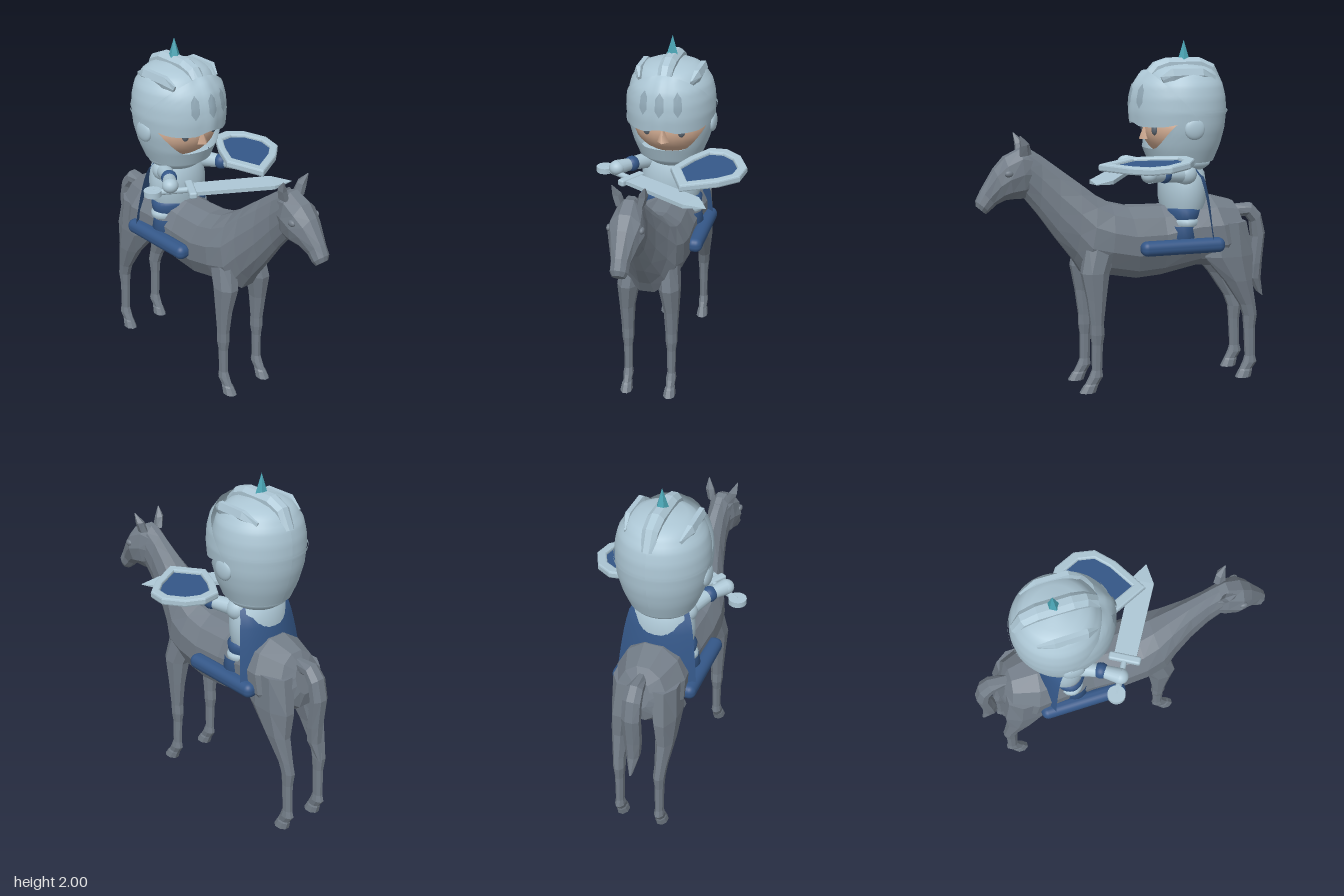
import * as THREE from 'three';
import { RoundedBoxGeometry } from 'three/addons/geometries/RoundedBoxGeometry.js';

const mat = (name, color, side = THREE.FrontSide) => {
  const m = new THREE.MeshStandardMaterial({ color, side });
  m.name = name;
  return m;
};

// Faceted loft. Ring: [z1, y1, z2, y2, halfWidth, xCentre]; the two points are opposite ends of the section.
function loft(rings, sides = 10) {
  const loops = rings.map(([z1, y1, z2, y2, w, x = 0]) => Array.from({ length: sides }, (_, i) => {
    const t = ((i + 0.5) / sides) * Math.PI * 2, c = Math.cos(t) / Math.cos(Math.PI / sides);
    return new THREE.Vector3(x + w * Math.sin(t), (y1 + y2) / 2 + (y1 - y2) / 2 * c, (z1 + z2) / 2 + (z1 - z2) / 2 * c);
  }));
  const tris = [];
  for (let r = 0; r < loops.length - 1; r++) for (let i = 0; i < sides; i++) {
    const j = (i + 1) % sides, A = loops[r], B = loops[r + 1];
    tris.push([A[i], A[j], B[j]], [A[i], B[j], B[i]]);
  }
  const first = loops[0], last = loops[loops.length - 1];
  for (let i = 1; i < sides - 1; i++) {
    tris.push([first[0], first[i + 1], first[i]], [last[0], last[i], last[i + 1]]);
  }
  // Turn the faces outward whichever way the path runs
  const volume = tris.reduce((s, [a, b, c]) => s + a.dot(b.clone().cross(c)), 0);
  const points = tris.flatMap(([a, b, c]) => (volume < 0 ? [a, c, b] : [a, b, c]));
  const g = new THREE.BufferGeometry().setFromPoints(points);
  g.computeVertexNormals();
  return g;
}

// Helmet radius by height
const helmProfile = [[0.185, 1.31], [0.222, 1.4], [0.248, 1.5], [0.257, 1.6], [0.252, 1.68], [0.235, 1.75], [0.185, 1.825], [0.1, 1.862], [0, 1.87]];
function helmRadius(y) {
  for (let i = 0; i < helmProfile.length - 1; i++) {
    const [r0, y0] = helmProfile[i], [r1, y1] = helmProfile[i + 1];
    if (y <= y1) return r0 + (r1 - r0) * Math.max(0, (y - y0) / (y1 - y0));
  }
  return 0;
}
// Curved plate following the helmet; angles in degrees from the front
function shell(a0, a1, low, high, offset, nu = 40, nv = 8) {
  const g = new THREE.PlaneGeometry(1, 1, nu, nv), p = g.attributes.position;
  for (let i = 0; i < p.count; i++) {
    const a = a0 + (a1 - a0) * (p.getX(i) + 0.5), v = p.getY(i) + 0.5;
    const y = low(a) + (high(a) - low(a)) * v, t = a * Math.PI / 180, r = helmRadius(y) + offset(a);
    p.setXYZ(i, r * Math.sin(t), y, -0.34 + r * Math.cos(t));
  }
  g.computeVertexNormals();
  return g;
}

export function createModel() {
  const coat = mat('greyCoat', 0x737d88);
  const steel = mat('paleSteel', 0xadc7d5, THREE.DoubleSide);
  const slotSteel = mat('slotSteel', 0x93abb9, THREE.DoubleSide);
  const blue = mat('blueCloth', 0x345788, THREE.DoubleSide);
  const teal = mat('tealSpike', 0x4aa5b5);
  const skin = mat('skin', 0xcda88f);
  const eyeGrey = mat('eyeGrey', 0x5d6874);
  const brown = mat('browBrown', 0x5a4438);

  const model = new THREE.Group();
  const horse = new THREE.Group(), rider = new THREE.Group(), arms = new THREE.Group();
  horse.name = 'horse'; rider.name = 'rider'; arms.name = 'armsAndWeapons';
  horse.position.x = rider.position.x = -0.05;
  model.add(horse, rider, arms);

  const add = (parent, name, geo, material, x = 0, y = 0, z = 0) => {
    const m = new THREE.Mesh(geo, material);
    m.name = name;
    m.position.set(x, y, z);
    parent.add(m);
    return m;
  };
  const ball = (parent, name, material, x, y, z, sx, sy, sz) => {
    const m = add(parent, name, new THREE.SphereGeometry(1, 24, 16), material, x, y, z);
    m.scale.set(sx, sy, sz);
    return m;
  };
  const rod = (parent, name, material, a, b, ra, rb) => {
    const A = new THREE.Vector3(...a), B = new THREE.Vector3(...b), d = B.clone().sub(A);
    const m = add(parent, name, new THREE.CylinderGeometry(rb, ra, d.length(), 16), material);
    m.position.copy(A).addScaledVector(d, 0.5);
    m.quaternion.setFromUnitVectors(new THREE.Vector3(0, 1, 0), d.normalize());
    return m;
  };

  // Horse body, neck and head
  add(horse, 'horseBody', loft([
    [-0.69, 1.0, -0.74, 0.84, 0.06], [-0.65, 1.06, -0.725, 0.76, 0.14], [-0.5, 1.1, -0.6, 0.67, 0.205],
    [-0.38, 1.08, -0.42, 0.69, 0.19], [-0.2, 1.05, -0.2, 0.645, 0.175], [0, 1.055, -0.05, 0.635, 0.185],
    [0.1, 1.08, 0.14, 0.67, 0.185], [0.19, 1.13, 0.27, 0.68, 0.165], [0.28, 1.2, 0.32, 0.76, 0.13],
    [0.4, 1.29, 0.42, 0.89, 0.09], [0.5, 1.365, 0.52, 1.03, 0.07], [0.57, 1.41, 0.6, 1.13, 0.07]], 12), coat);
  add(horse, 'horseHead', loft([
    [0.53, 1.385, 0.56, 1.15, 0.06], [0.62, 1.41, 0.6, 1.13, 0.085], [0.71, 1.365, 0.67, 1.13, 0.1], [0.77, 1.3, 0.71, 1.125, 0.08],
    [0.845, 1.18, 0.76, 1.1, 0.052], [0.872, 1.125, 0.8, 1.065, 0.05], [0.872, 1.095, 0.82, 1.05, 0.036]], 10), coat);

  // Tail
  add(horse, 'tail', loft([
    [-0.66, 1.03, -0.68, 0.95, 0.03], [-0.78, 1.035, -0.75, 0.96, 0.05], [-0.84, 0.97, -0.78, 0.92, 0.055],
    [-0.87, 0.85, -0.79, 0.83, 0.055], [-0.855, 0.68, -0.77, 0.66, 0.05], [-0.85, 0.57, -0.77, 0.58, 0.04],
    [-0.87, 0.46, -0.83, 0.49, 0.012]], 8), coat);

  // Leg sections: [y, zFront, zBack, halfWidth, distance from the middle]
  const frontLeg = [[0.9, 0.26, 0.06, 0.06, 0.1], [0.7, 0.3, 0.14, 0.065, 0.12], [0.55, 0.27, 0.16, 0.045, 0.13],
    [0.4, 0.25, 0.175, 0.036, 0.13], [0.34, 0.25, 0.17, 0.035, 0.13], [0.28, 0.242, 0.18, 0.026, 0.13], [0.13, 0.242, 0.185, 0.024, 0.13],
    [0.09, 0.258, 0.18, 0.03, 0.13], [0.05, 0.28, 0.205, 0.025, 0.13], [0.04, 0.29, 0.21, 0.03, 0.13], [0, 0.315, 0.225, 0.036, 0.13]];
  const hindLeg = [[0.95, -0.46, -0.7, 0.09, 0.1], [0.75, -0.44, -0.74, 0.075, 0.12], [0.6, -0.57, -0.735, 0.055, 0.13],
    [0.45, -0.67, -0.765, 0.036, 0.125], [0.38, -0.695, -0.778, 0.034, 0.12], [0.3, -0.702, -0.768, 0.027, 0.12], [0.13, -0.712, -0.772, 0.024, 0.12],
    [0.09, -0.7, -0.782, 0.03, 0.12], [0.05, -0.68, -0.755, 0.025, 0.12], [0.04, -0.675, -0.755, 0.03, 0.12], [0, -0.655, -0.745, 0.036, 0.12]];
  for (const s of [-1, 1]) {
    for (const [name, leg] of [['frontLeg', frontLeg], ['hindLeg', hindLeg]])
      add(horse, name, loft(leg.map(([y, f, b, w, x]) => [f, y, b, y, w, s * x]), 8), coat);
    add(horse, 'ear', loft([[0.63, 1.37, 0.57, 1.38, 0.025, s * 0.055], [0.63, 1.43, 0.585, 1.44, 0.026, s * 0.072], [0.638, 1.49, 0.632, 1.49, 0.003, s * 0.088]], 5), coat);
    ball(horse, 'horseEye', coat, s * 0.088, 1.28, 0.7, 0.014, 0.018, 0.024);
    add(rider, 'stirrupBoot', new RoundedBoxGeometry(0.09, 0.085, 0.505, 4, 0.038), blue, s * 0.2, 0.834, -0.282);
  }

  // Rider's trunk, as stacked oval bands
  const band = (name, material, profile, depth, z) => {
    const m = add(rider, name, new THREE.LatheGeometry(profile.map(([r, y]) => new THREE.Vector2(r, y)), 32), material, 0, 0, z);
    m.scale.z = depth;
  };
  band('breeches', blue, [[0.17, 0.84], [0.2, 0.88], [0.19, 0.945]], 0.58, -0.31);
  band('tassetBand', steel, [[0.18, 0.94], [0.195, 0.95], [0.195, 0.975], [0.18, 0.985]], 0.52, -0.33);
  band('belt', blue, [[0.175, 0.975], [0.182, 0.99], [0.188, 1.03], [0.17, 1.045]], 0.6, -0.33);
  band('breastplate', steel, [[0.165, 1.035], [0.178, 1.09], [0.18, 1.16], [0.165, 1.24], [0.12, 1.3], [0, 1.31]], 0.76, -0.345);
  band('collar', steel, [[0.12, 1.25], [0.17, 1.285], [0.185, 1.32], [0, 1.33]], 0.95, -0.34);

  // Cape spreading down the back
  const cape = new THREE.PlaneGeometry(1, 1, 12, 8), cp = cape.attributes.position;
  for (let i = 0; i < cp.count; i++) {
    const u = cp.getX(i) * 2, v = 0.5 - cp.getY(i);
    cp.setXYZ(i, u * (0.15 + 0.085 * Math.sqrt(v)), 1.28 - 0.46 * v, -0.43 - 0.1 * Math.sqrt(v) + 0.07 * u * u);
  }
  cape.computeVertexNormals();
  add(rider, 'cape', cape, blue);

  // Face
  ball(rider, 'face', skin, 0, 1.49, -0.335, 0.222, 0.17, 0.222);
  add(rider, 'nose', new THREE.ConeGeometry(0.035, 0.09, 4), skin, 0, 1.485, -0.115);
  for (const s of [-1, 1]) {
    ball(rider, 'eye', eyeGrey, s * 0.1, 1.5, -0.142, 0.022, 0.032, 0.018);
    const brow = add(rider, 'eyebrow', new THREE.BoxGeometry(0.08, 0.008, 0.008), brown, s * 0.125, 1.545, -0.158);
    brow.rotation.y = s * 0.6;
  }

  // Helmet: dome, jaw guard with face opening, raised visor
  const smooth = THREE.MathUtils.smoothstep;
  add(rider, 'helmetDome', shell(-180, 180, () => 1.56, () => 1.87, () => 0, 48, 16), steel);
  add(rider, 'jawGuard', shell(-180, 180, () => 1.31, a => 1.39 + 0.18 * smooth(Math.abs(a), 25, 80),
    a => 0.012 * (1 - smooth(Math.abs(a), 40, 90)), 72, 8), steel);
  add(rider, 'backSeam', shell(100, 260, () => 1.59, () => 1.605, () => 0.007, 32, 2), steel);
  const visorOut = a => 0.014 + 0.05 * Math.cos(a * Math.PI / 180) ** 2 - 0.01 * smooth(Math.abs(a), 0, 12);
  add(rider, 'visor', shell(-92, 92, a => 1.545 - 0.025 * smooth(Math.abs(a), 0, 20) + 0.035 * smooth(Math.abs(a), 40, 90),
    a => 1.835 - 0.26 * (a / 90) ** 2, visorOut, 48, 12), steel);
  for (const c of [-19, 0, 19]) {
    const cut = a => 0.035 * Math.abs(a - c) / 4.5;
    add(rider, 'visorSlot', shell(c - 4.5, c + 4.5, a => 1.62 + cut(a), a => 1.76 - cut(a), a => visorOut(a) + 0.005, 6, 6), slotSteel);
  }

  // Helmet crest, side ridges, hinges and spike
  add(rider, 'crest', loft([[-0.1, 1.8, -0.15, 1.72, 0.04], [-0.17, 1.875, -0.2, 1.8, 0.047], [-0.25, 1.9, -0.25, 1.82, 0.05],
    [-0.44, 1.9, -0.44, 1.82, 0.05], [-0.53, 1.86, -0.49, 1.8, 0.047], [-0.585, 1.75, -0.52, 1.74, 0.04]], 8), steel);
  for (const s of [-1, 1]) {
    add(rider, 'sideRidge', loft([[-0.16, 1.8, -0.18, 1.76, 0.008, s * 0.15], [-0.22, 1.845, -0.23, 1.77, 0.026, s * 0.168],
      [-0.4, 1.845, -0.4, 1.77, 0.026, s * 0.17], [-0.49, 1.8, -0.48, 1.76, 0.008, s * 0.15]], 6), steel);
    ball(rider, 'visorHinge', steel, s * 0.245, 1.51, -0.33, 0.022, 0.06, 0.06);
  }
  const spike = new THREE.ConeGeometry(0.046, 0.15, 5).toNonIndexed();
  spike.computeVertexNormals();
  add(rider, 'spike', spike, teal, 0, 1.925, -0.35);

  // Arms with cuffs and gauntlets
  const limbs = [[[-0.17, 1.24, -0.32], [-0.25, 1.265, -0.17], [-0.315, 1.27, -0.08]], [[0.08, 1.24, -0.32], [0.14, 1.25, -0.17], [0.2, 1.26, -0.06]]];
  for (const [shoulder, wrist, hand] of limbs) {
    ball(arms, 'shoulder', steel, ...shoulder, 0.065, 0.065, 0.065);
    rod(arms, 'upperArm', steel, shoulder, wrist, 0.05, 0.038);
    ball(arms, 'cuff', blue, ...wrist, 0.045, 0.045, 0.045);
    rod(arms, 'gauntlet', steel, wrist, hand, 0.034, 0.045);
    ball(arms, 'hand', steel, ...hand, 0.046, 0.042, 0.046);
  }

  // Sword lying level, built along its own x axis from the pommel
  const sword = new THREE.Group();
  sword.name = 'sword';
  sword.position.set(-0.4, 1.235, -0.13);
  sword.rotation.y = -0.53;
  arms.add(sword);
  add(sword, 'pommel', new THREE.CylinderGeometry(0.05, 0.05, 0.032, 24), steel);
  rod(sword, 'grip', steel, [0, 0, 0], [0.22, 0, 0], 0.017, 0.017);
  add(sword, 'crossguard', new RoundedBoxGeometry(0.045, 0.04, 0.18, 2, 0.012), steel, 0.215, 0, 0);
  const blade = loft([[0.062, 0, -0.062, 0, 0.016], [0.067, 0.43, -0.067, 0.43, 0.016], [0.002, 0.79, -0.002, 0.79, 0.002]].map(
    ([z1, y1, z2, y2, w], i) => [z1, [0.22, 0.68, 0.79][i], z2, [0.22, 0.68, 0.79][i], w]), 4);
  add(sword, 'blade', blade, steel).rotation.z = -Math.PI / 2;

  // Shield: pale backing and rim around a blue panel, tilted slightly
  const outline = [[0.12, 0.21], [0.025, 0.01], [0.1, -0.15], [0.19, -0.285], [0.29, -0.295], [0.38, -0.235], [0.44, -0.11], [0.42, 0.01], [0.32, 0.1]];
  const shrink = k => outline.map(([x, z]) => new THREE.Vector2(0.235 + (x - 0.235) * k, -0.06 + (z + 0.06) * k));
  const plate = (name, material, shape, depth, bevel, y) => {
    const g = new THREE.ExtrudeGeometry(shape, { depth, bevelEnabled: bevel > 0, bevelSize: bevel, bevelThickness: bevel, bevelOffset: -bevel, bevelSegments: 2 });
    g.rotateX(Math.PI / 2);
    const p = g.attributes.position;
    for (let i = 0; i < p.count; i++) p.setY(i, p.getY(i) + y - 0.08 * p.getZ(i) - 0.04 * (p.getX(i) - 0.23));
    g.computeVertexNormals();
    add(arms, name, g, material);
  };
  const rim = new THREE.Shape(shrink(1));
  rim.holes.push(new THREE.Path(shrink(0.74)));
  plate('shieldRim', steel, rim, 0.022, 0.01, 1.33);
  plate('shieldBacking', steel, new THREE.Shape(shrink(0.85)), 0.012, 0, 1.31);
  plate('shieldPanel', blue, new THREE.Shape(shrink(0.78)), 0.008, 0, 1.322);

  return model;
}
